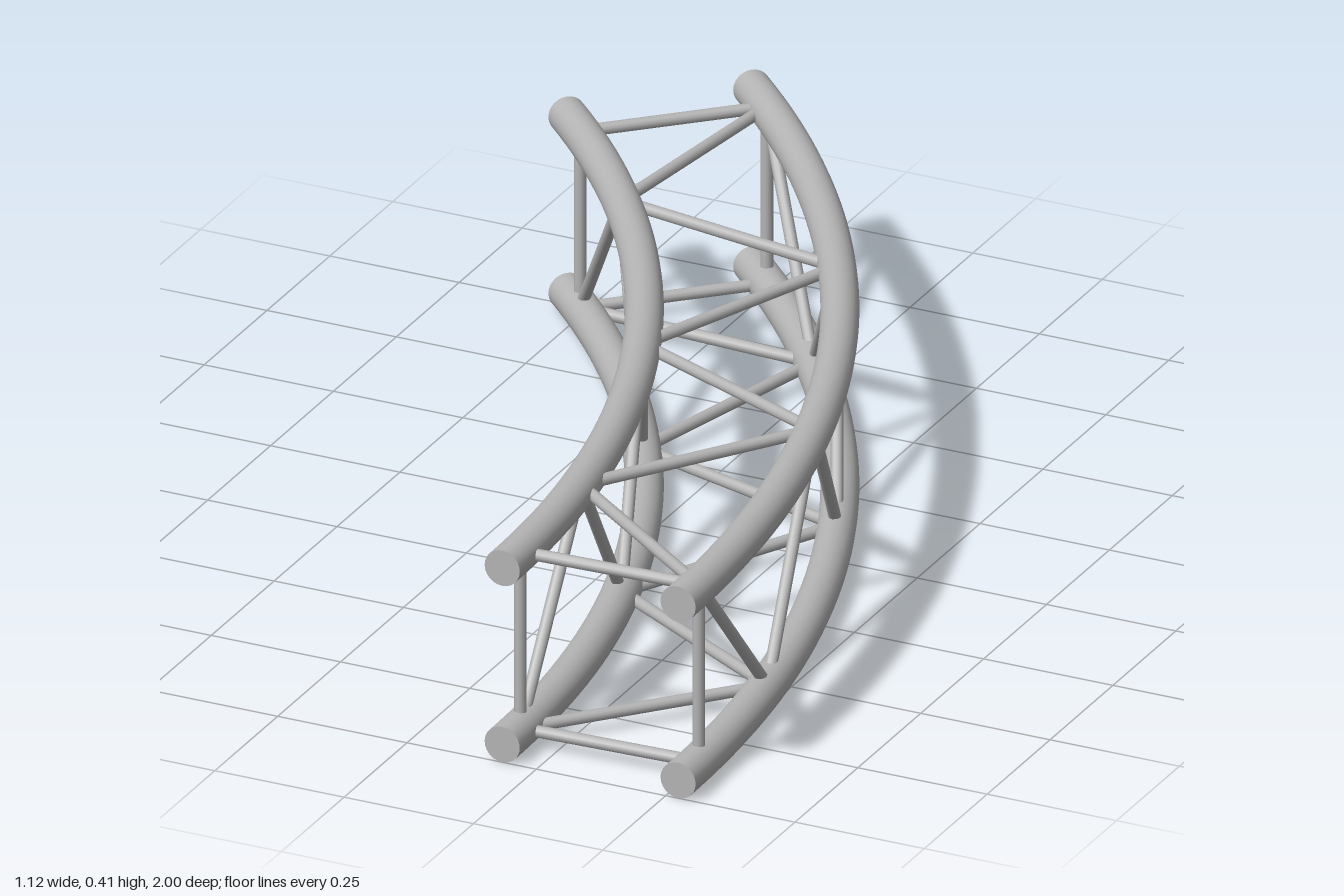
import * as THREE from 'three';

const CENTER_X = -2.271, START_Z = 1;           // bend centre of the arc
const R_IN = 2.455, R_OUT = 2.795;              // inner and outer chord radii
const Y_LOW = 0.034, Y_TOP = 0.372;             // chord heights
const CHORD_R = 0.034, BRACE_R = 0.011;
const SWEEP = Math.PI / 4;

const arcPoint = (r, y, a) =>
  new THREE.Vector3(CENTER_X + r * Math.cos(a), y, START_Z - r * Math.sin(a));

class ArcCurve extends THREE.Curve {
  constructor(r, y) { super(); this.r = r; this.y = y; }
  getPoint(t, target = new THREE.Vector3()) {
    return target.copy(arcPoint(this.r, this.y, t * SWEEP));
  }
}

export function createModel() {
  const model = new THREE.Group();
  const metal = new THREE.MeshStandardMaterial({ color: 0xb4b4b4 });
  metal.name = 'brushed grey metal';

  // Main curved chord with closed ends
  const addChord = (name, r, y) => {
    const chord = new THREE.Group();
    chord.name = name;
    const tube = new THREE.Mesh(new THREE.TubeGeometry(new ArcCurve(r, y), 48, CHORD_R, 24), metal);
    tube.name = name + 'Tube';
    chord.add(tube);
    for (const [a, turn] of [[0, 0], [SWEEP, SWEEP + Math.PI]]) {
      const cap = new THREE.Mesh(new THREE.CircleGeometry(CHORD_R, 24), metal);
      cap.name = name + 'EndCap';
      cap.position.copy(arcPoint(r, y, a));
      cap.rotation.y = turn;
      chord.add(cap);
    }
    model.add(chord);
  };
  addChord('innerLowerChord', R_IN, Y_LOW);
  addChord('innerUpperChord', R_IN, Y_TOP);
  addChord('outerLowerChord', R_OUT, Y_LOW);
  addChord('outerUpperChord', R_OUT, Y_TOP);

  // Thin straight bar between two points
  const addBrace = (name, p, q) => {
    const dir = q.clone().sub(p);
    const bar = new THREE.Mesh(
      new THREE.CylinderGeometry(BRACE_R, BRACE_R, dir.length(), 12, 1, true), metal);
    bar.name = name;
    bar.position.copy(p).lerp(q, 0.5);
    bar.quaternion.setFromUnitVectors(new THREE.Vector3(0, 1, 0), dir.normalize());
    model.add(bar);
  };

  // Each face zigzags between two chords; [even-node chord, odd-node chord]
  const faces = [
    ['upper', [R_OUT, Y_TOP], [R_IN, Y_TOP]],
    ['lower', [R_IN, Y_LOW], [R_OUT, Y_LOW]],
    ['inner', [R_IN, Y_LOW], [R_IN, Y_TOP]],
    ['outer', [R_OUT, Y_TOP], [R_OUT, Y_LOW]],
  ];
  const BAYS = 6;
  const first = THREE.MathUtils.degToRad(1.75);
  const nodeAngle = i => first + (SWEEP - 2 * first) * i / BAYS;

  for (const [name, even, odd] of faces) {
    const node = i => arcPoint(...(i % 2 ? odd : even), nodeAngle(i));
    for (let i = 0; i < BAYS; i++) addBrace(name + 'Diagonal', node(i), node(i + 1));
    // Square rungs at both ends
    for (const i of [0, BAYS]) {
      addBrace(name + 'EndRung', arcPoint(...even, nodeAngle(i)), arcPoint(...odd, nodeAngle(i)));
    }
  }
  return model;
}
